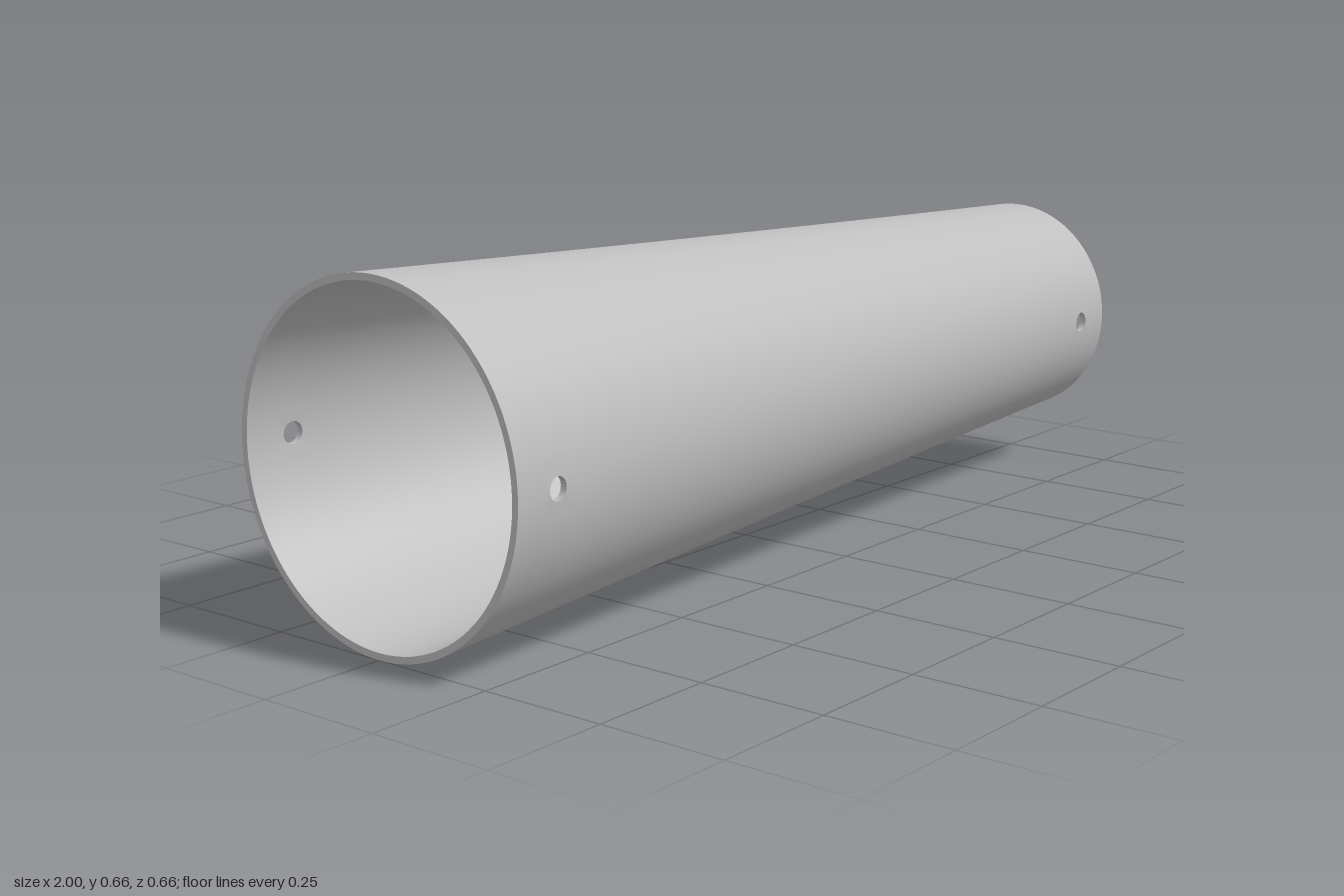
import * as THREE from 'three';
import { mergeVertices } from 'three/addons/utils/BufferGeometryUtils.js';

const SEG = 128;          // sides around the tube
const HALF = 3;           // half size of a hole window, in grid cells
const CENTER_Y = 0.332;
const WALL = 0.013;
const HOLE_R = 0.021;
const HOLE_X = [-0.9, 0.9];
const STEP = (Math.PI * 2) / SEG;
const CELL = 0.035 / HALF;

// gently curved taper from the wide end to the narrow end
const radius = (x) => 0.2795 - 0.0495 * x + 0.003 * x * x;

// point on the tube: angle 0 faces +z, inset moves it inwards
const point = (x, angle, inset) => {
  const r = radius(x) - inset;
  return [x, CENTER_Y + r * Math.sin(angle), r * Math.cos(angle)];
};
const gridPoint = (x, j, inset) => point(x, (((j % SEG) + SEG) % SEG) * STEP, inset);

// point k on a hole's edge, in the direction of window corner (u, v)
const holePoint = (hx, side, [u, v], inset) => {
  const a = Math.atan2(v, u);
  const x = hx + HOLE_R * Math.cos(a);
  const lift = Math.asin((HOLE_R * Math.sin(a)) / (radius(x) - inset));
  return point(x, side * STEP + lift, inset);
};

// counter-clockwise outline of a hole window, in grid cells
const outline = [];
for (let i = -HALF; i < HALF; i++) outline.push([i, -HALF]);
for (let i = -HALF; i < HALF; i++) outline.push([HALF, i]);
for (let i = HALF; i > -HALF; i--) outline.push([i, HALF]);
for (let i = HALF; i > -HALF; i--) outline.push([-HALF, i]);

// grid columns, denser around the holes
const columns = [-1];
for (let i = -HALF; i <= HALF; i++) columns.push(HOLE_X[0] + i * CELL);
for (let i = 1; i < 16; i++) columns.push(-0.865 + (1.73 * i) / 16);
for (let i = -HALF; i <= HALF; i++) columns.push(HOLE_X[1] + i * CELL);
columns.push(1);

function quadMesh(name, quads, material) {
  const pos = [];
  for (const [a, b, c, d] of quads) pos.push(...a, ...b, ...c, ...a, ...c, ...d);
  let geo = new THREE.BufferGeometry();
  geo.setAttribute('position', new THREE.Float32BufferAttribute(pos, 3));
  geo = mergeVertices(geo, 1e-5);
  geo.computeVertexNormals();
  const mesh = new THREE.Mesh(geo, material);
  mesh.name = name;
  return mesh;
}

// runs fn for each step around each of the four holes
function eachHoleStep(fn) {
  for (const hx of HOLE_X) {
    for (const side of [0, SEG / 2]) {
      outline.forEach((p, k) => fn(hx, side, p, outline[(k + 1) % outline.length]));
    }
  }
}

// tube skin with round openings at the front and back
function skin(inset) {
  const quads = [];
  for (let i = 0; i < columns.length - 1; i++) {
    const x0 = columns[i], x1 = columns[i + 1], mid = (x0 + x1) / 2;
    const nearHole = HOLE_X.some((hx) => Math.abs(mid - hx) < HALF * CELL);
    for (let j = 0; j < SEG; j++) {
      const fromSide = Math.abs(((j + 0.5 + SEG / 4) % (SEG / 2)) - SEG / 4);
      if (nearHole && fromSide < HALF) continue;
      quads.push([gridPoint(x0, j, inset), gridPoint(x1, j, inset),
        gridPoint(x1, j + 1, inset), gridPoint(x0, j + 1, inset)]);
    }
  }
  eachHoleStep((hx, side, p, q) => {
    quads.push([
      gridPoint(hx + p[0] * CELL, side + p[1], inset),
      gridPoint(hx + q[0] * CELL, side + q[1], inset),
      holePoint(hx, side, q, inset),
      holePoint(hx, side, p, inset),
    ]);
  });
  return quads;
}

// flat ring closing one end of the wall
function rim(x) {
  const quads = [];
  const [first, second] = x > 0 ? [0, WALL] : [WALL, 0];
  for (let j = 0; j < SEG; j++) {
    quads.push([gridPoint(x, j, first), gridPoint(x, j, second),
      gridPoint(x, j + 1, second), gridPoint(x, j + 1, first)]);
  }
  return quads;
}

export function createModel() {
  const metal = new THREE.MeshStandardMaterial({ color: 0xbfbfbf });
  metal.name = 'light grey';
  const group = new THREE.Group();
  group.name = 'taperedTube';

  // bores of the four pin holes
  const bores = [];
  eachHoleStep((hx, side, p, q) => {
    bores.push([holePoint(hx, side, p, 0), holePoint(hx, side, q, 0),
      holePoint(hx, side, q, WALL), holePoint(hx, side, p, WALL)]);
  });

  group.add(
    quadMesh('outerWall', skin(0), metal),
    quadMesh('innerWall', skin(WALL).map((quad) => quad.reverse()), metal),
    quadMesh('wideRim', rim(-1), metal),
    quadMesh('narrowRim', rim(1), metal),
    quadMesh('pinHoles', bores, metal),
  );
  return group;
}
